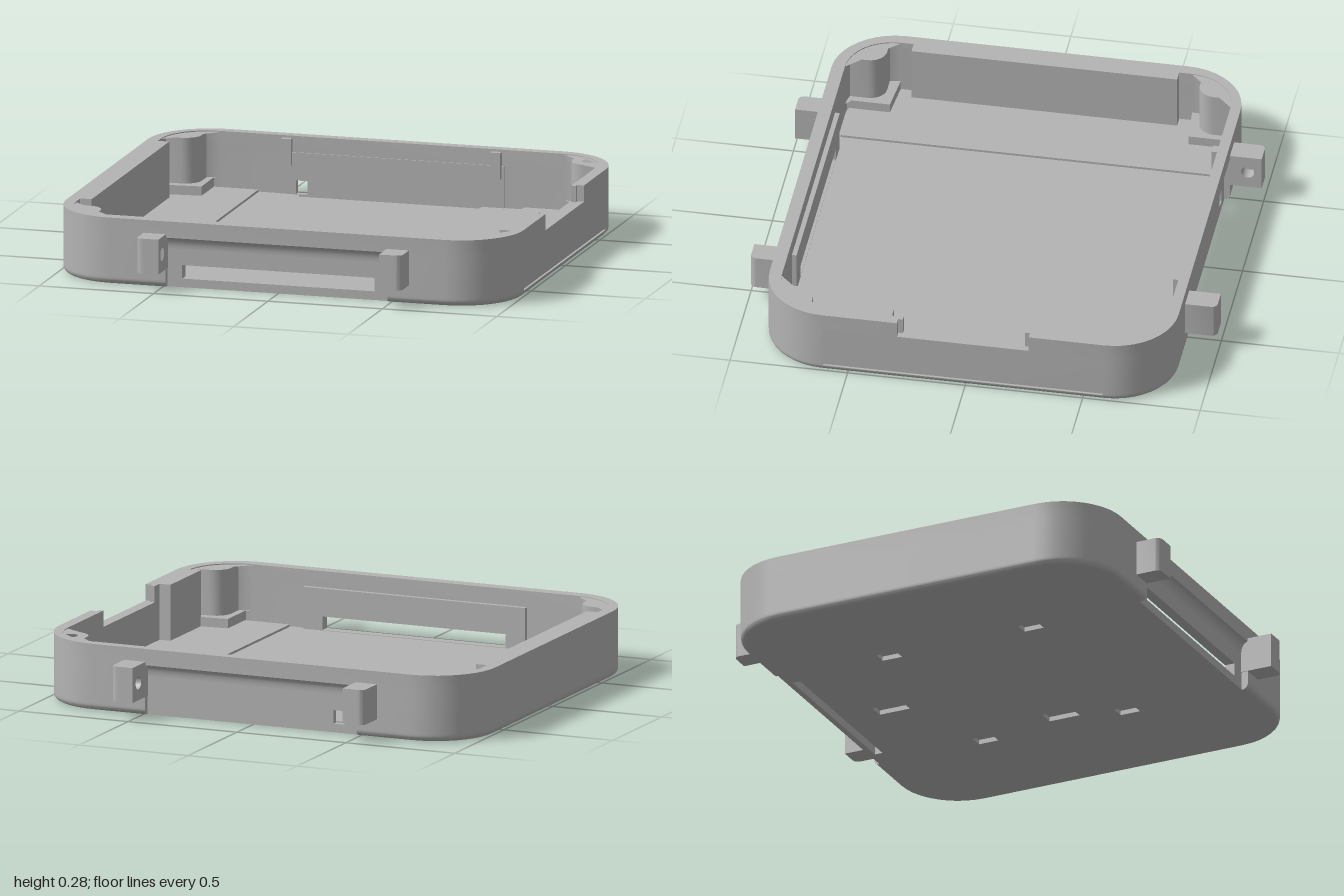
import * as THREE from 'three';
import { toCreasedNormals } from 'three/addons/utils/BufferGeometryUtils.js';

const H = 0.285, SPLIT = 0.215, DEG = Math.PI / 180;

// points [x, z] along an arc, angles in degrees
function arc(cx, cz, r, a0, a1, n = 10) {
  const pts = [];
  for (let i = 0; i <= n; i++) {
    const a = (a0 + (a1 - a0) * i / n) * DEG;
    pts.push([cx + r * Math.cos(a), cz + r * Math.sin(a)]);
  }
  return pts;
}
const toV2 = pts => pts.map(p => new THREE.Vector2(p[0], p[1]));
const rect = (x0, x1, z0, z1) => [[x0, z0], [x1, z0], [x1, z1], [x0, z1]];

function plate(pts, depth, holes = []) {
  const shape = new THREE.Shape(toV2(pts));
  holes.forEach(h => shape.holes.push(new THREE.Path(toV2(h))));
  return toCreasedNormals(new THREE.ExtrudeGeometry(shape, { depth, bevelEnabled: false }), 0.6);
}
// plan outline in x/z, filled from y0 to y1
const slab = (pts, y0, y1, holes) => plate(pts, y1 - y0, holes).rotateX(Math.PI / 2).translate(0, y1, 0);
// front outline in x/y, filled from z0 to z1
const panel = (pts, z0, z1, holes) => plate(pts, z1 - z0, holes).translate(0, 0, z0);
// side outline in z/y, filled from x0 to x1
const sidePlate = (pts, x0, x1, holes) =>
  plate(pts.map(([z, y]) => [-z, y]), x1 - x0, holes && holes.map(h => h.map(([z, y]) => [-z, y])))
    .rotateY(Math.PI / 2).translate(x0, 0, 0);

// solid through plan outlines of equal length at rising heights
function loft(rings, ys) {
  const n = rings[0].length, pos = [];
  const put = (k, j) => pos.push(rings[k][j][0], ys[k], rings[k][j][1]);
  for (let k = 0; k < rings.length - 1; k++) {
    for (let j = 0; j < n; j++) {
      const m = (j + 1) % n;
      put(k, j); put(k + 1, j); put(k, m);
      put(k, m); put(k + 1, j); put(k + 1, m);
    }
  }
  for (const k of [0, rings.length - 1]) {
    for (const [a, b, c] of THREE.ShapeUtils.triangulateShape(toV2(rings[k]), [])) {
      put(k, a); put(k, k ? c : b); put(k, k ? b : c);
    }
  }
  const g = new THREE.BufferGeometry();
  g.setAttribute('position', new THREE.Float32BufferAttribute(pos, 3));
  return toCreasedNormals(g, 0.6);
}

// plan of one side wall with its two corners; inset for the bottom round, groove for the slit
function sideWall(s, inset, groove) {
  const r = 0.27 - inset, x = 1 - inset, g = s > 0 ? groove : 0;
  const pts = [
    [0.485, -0.86 + inset], ...arc(0.73, -0.59, r, -90, 0),
    [x, -0.585], [x - g, -0.585], [x - g, 0.605], [x, 0.605],
    ...arc(0.73, 0.61, r, 0, 90), [0.485, 0.88 - inset],
    [0.485, 0.825], ...arc(0.75, 0.625, 0.2, 90, 0), ...arc(0.75, -0.615, 0.2, 0, -90), [0.485, -0.815],
  ];
  return s > 0 ? pts : pts.map(([px, pz]) => [-px, pz]).reverse();
}

export function createModel() {
  const model = new THREE.Group();
  const grey = new THREE.MeshStandardMaterial({ color: 0xb4b4b4 });
  grey.name = 'plain grey';
  const add = (name, geometry) => {
    const mesh = new THREE.Mesh(geometry, grey);
    mesh.name = name;
    model.add(mesh);
    return mesh;
  };

  // side walls with a rounded bottom edge
  for (const s of [1, -1]) {
    const rings = [], ys = [], R = 0.025;
    for (let i = 0; i <= 5; i++) {
      const a = i * 18 * DEG;
      rings.push(sideWall(s, R * (1 - Math.sin(a)), 0));
      ys.push(R * (1 - Math.cos(a)));
    }
    for (const [y, g] of [[R, 0.015], [0.033, 0.015], [0.033, 0], [SPLIT, 0]]) {
      rings.push(sideWall(s, 0, g));
      ys.push(y);
    }
    add(s > 0 ? 'leftWall' : 'rightWall', loft(rings, ys));
  }

  // upper rim, open at the stepped notch on the left
  add('upperRim', slab([
    [1, 0.29], ...arc(0.73, 0.61, 0.27, 0, 90), ...arc(-0.73, 0.61, 0.27, 90, 180),
    ...arc(-0.73, -0.59, 0.27, 180, 270), ...arc(0.73, -0.59, 0.27, 270, 360),
    [1, -0.27], [0.97, -0.27], [0.97, -0.25], [0.95, -0.25],
    ...arc(0.75, -0.615, 0.2, 0, -90), ...arc(-0.75, -0.615, 0.2, -90, -180),
    ...arc(-0.75, 0.625, 0.2, 180, 90), ...arc(0.75, 0.625, 0.2, 90, 0),
    [0.95, 0.27], [0.97, 0.27], [0.97, 0.29],
  ], SPLIT, H));

  // floor in two layers: blind clip pockets below, vent slot through both
  const floorPlan = [
    ...arc(0.75, 0.625, 0.2, 0, 90), ...arc(-0.75, 0.625, 0.2, 90, 180),
    ...arc(-0.75, -0.615, 0.2, 180, 270), ...arc(0.75, -0.615, 0.2, 270, 360),
  ];
  const vent = rect(-0.4, 0.39, -0.81, -0.775);
  const pocket = (x, z, w, d) => rect(x - w / 2, x + w / 2, z - d / 2, z + d / 2);
  const pockets = [pocket(0.38, 0.06, 0.07, 0.14), pocket(0.01, -0.55, 0.07, 0.14)];
  for (const x of [-0.46, 0.46]) for (const z of [-0.33, 0.33]) pockets.push(pocket(x, z, 0.06, 0.09));
  add('floorUnderside', slab(floorPlan, 0, 0.02, [vent, ...pockets]));
  add('floor', slab(floorPlan, 0.02, 0.035, [vent]));
  for (const [x0, x1, z] of [[0.575, 0.8, 0.81], [0.8, 0.95, 0.64], [-0.8, -0.585, 0.81], [-0.95, -0.8, 0.64]]) {
    add('floorStep', slab(rect(x0, x1, -z, z + 0.005), 0.035, 0.045));
  }

  // recessed front and back panels, with a curved underside below the rim
  add('frontPanel', panel(rect(-0.51, 0.51, 0, SPLIT), 0.805, 0.85, [rect(-0.42, 0.42, 0.037, 0.095)]));
  add('backPanel', panel(rect(-0.49, 0.49, 0, SPLIT), -0.835, -0.81, [rect(-0.42, -0.37, 0.037, 0.095)]));
  const cove = (zIn, zOut) => {
    const pts = [[zIn, SPLIT]];
    for (let i = 0; i <= 8; i++) {
      const a = i / 8 * 90 * DEG;
      pts.push([zIn + (zOut - zIn) * (1 - Math.cos(a)), SPLIT - 0.05 + 0.05 * Math.sin(a)]);
    }
    return sidePlate(pts, -0.485, 0.485);
  };
  add('frontCove', cove(0.85, 0.88));
  add('backCove', cove(-0.835, -0.86));

  // ribs on the back wall and thickened stretches of the side walls
  for (const x of [-0.46, 0.455]) add('backRib', slab(rect(x - 0.022, x + 0.022, -0.82, -0.79), 0.16, 0.275));
  add('rightWallThickening', slab(rect(-0.96, -0.9, -0.56, 0.57), 0.03, H));
  add('leftWallThickening', slab(rect(0.9, 0.96, 0.32, 0.63), 0.03, H));

  // screw posts on square feet in the corners
  for (const sx of [1, -1]) for (const sz of [1, -1]) {
    const place = pts => pts.map(([x, z]) => [sx * x, sz * z + 0.005]);
    const outer = arc(0.75, 0.62, 0.2, 0, 90);
    add('postFoot', slab(place([[0.78, 0.635], ...outer, [0.78, 0.82]]), 0.03, 0.085));
    add('screwPost', slab(
      place([...arc(0.88, 0.735, 0.07, 180, 270, 6), [0.95, 0.665], ...outer, [0.81, 0.82]]),
      0.08, H - 0.004, [place(arc(0.885, 0.738, 0.032, 0, 345, 23))]));
  }

  // hinge lugs: inner part has a blind pin hole, outer part has a rounded corner
  for (const sx of [1, -1]) for (const sz of [1, -1]) {
    const x0 = 0.482, xm = 0.54, x1 = 0.58, tip = sz > 0 ? 0.99 : 0.995, base = 0.835;
    const xs = sx > 0 ? [x0, xm] : [-xm, -x0];
    add('lugPinSide', sidePlate(rect(sz * base, sz * tip, 0.08, 0.23), xs[0], xs[1],
      [arc(sz * 0.935, 0.155, 0.028, 0, 345, 23)]));
    const plan = [[xm, base], [x1, base], ...arc(x1 - 0.025, tip - 0.025, 0.025, 0, 90, 5), [xm, tip]];
    add('lugOuterSide', slab(plan.map(([x, z]) => [sx * x, sz * z]), 0.08, 0.23));
  }
  return model;
}
